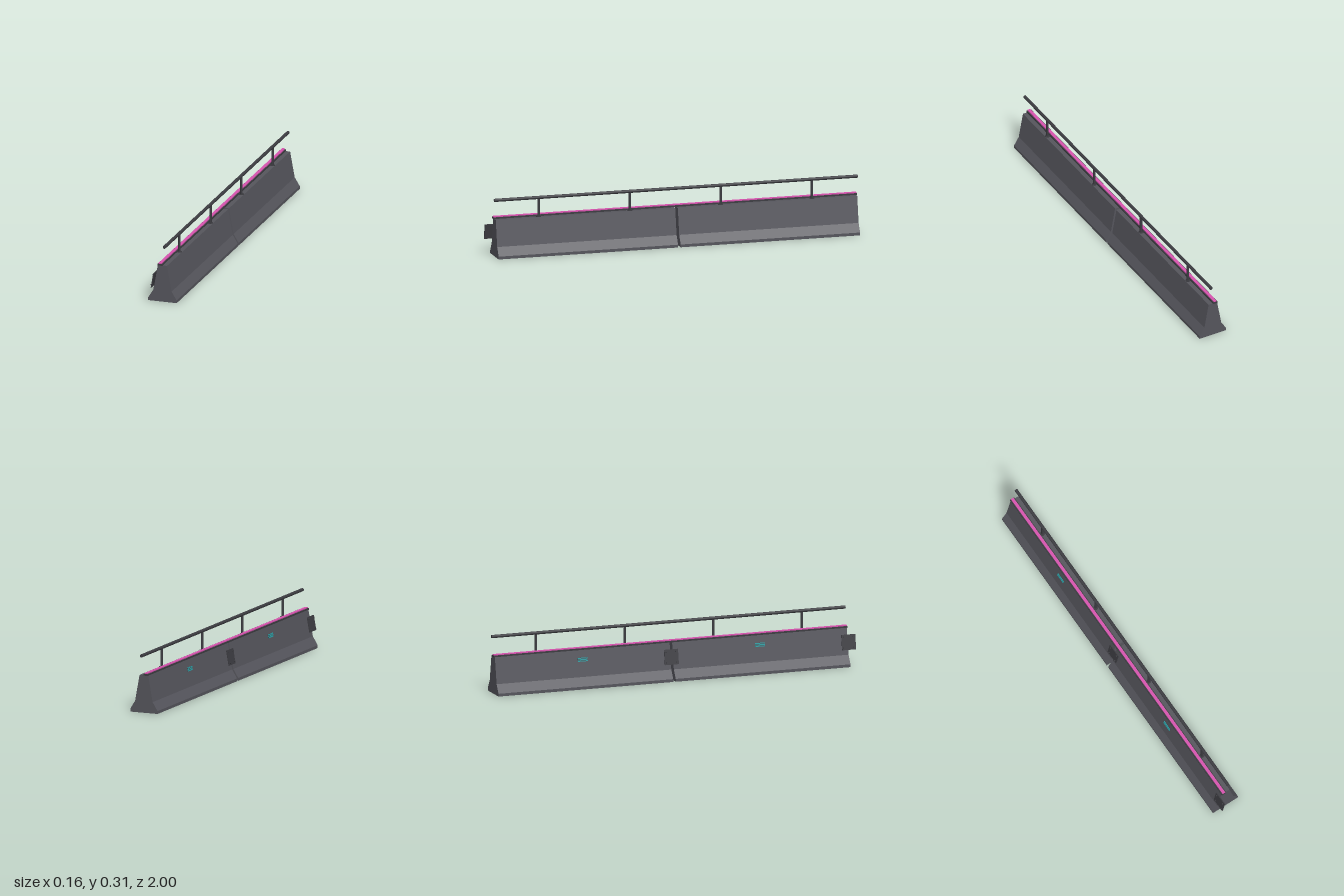
import * as THREE from 'three';

const mat = (name, color) => Object.assign(new THREE.MeshStandardMaterial({ color }), { name });

export function createModel() {
  const concrete = mat('concrete', 0x55555c);
  const metal = mat('darkMetal', 0x3c3c41);
  const pink = mat('pinkLight', 0xd653ae);
  const teal = mat('tealLight', 0x2a9aa0);

  const root = new THREE.Group();
  root.name = 'barrier';

  const add = (parent, name, geometry, material, x, y, z) => {
    const mesh = new THREE.Mesh(geometry, material);
    mesh.name = name;
    mesh.position.set(x, y, z);
    parent.add(mesh);
    return mesh;
  };

  // Group lying on the sloped right face: local -x points out, local y up the slope
  const sideMount = (name, y, z) => {
    const group = new THREE.Group();
    group.name = name;
    group.position.set(-0.05 + (y - 0.06) * (0.025 / 0.138), y, z);
    group.rotation.z = -Math.atan2(0.025, 0.138);
    root.add(group);
    return group;
  };

  // Cross-section of a concrete block, mirrored about x = 0
  const half = [[0.078, 0], [0.078, 0.015], [0.05, 0.06], [0.025, 0.198]];
  const points = [...half, ...half.map(([x, y]) => [-x, y]).reverse()];
  const section = new THREE.Shape(points.map(([x, y]) => new THREE.Vector2(x, y)));
  const length = 0.969;
  const blockGeo = new THREE.ExtrudeGeometry(section, { depth: length, bevelEnabled: false });

  const boltGeo = new THREE.CylinderGeometry(0.004, 0.004, 0.006, 6).rotateZ(Math.PI / 2);
  const postGeo = new THREE.CylinderGeometry(0.0065, 0.0065, 0.104, 12);
  const flangeGeo = new THREE.CylinderGeometry(0.013, 0.013, 0.004, 12);

  for (const start of [-0.995, -0.012]) {
    add(root, 'concreteBlock', blockGeo, concrete, 0, 0, start);

    // Rail posts with base flanges
    for (const offset of [0.241, 0.734]) {
      add(root, 'railPost', postGeo, metal, 0.012, 0.248, start + offset);
      add(root, 'postFlange', flangeGeo, metal, 0.012, 0.199, start + offset);
    }

    // Joining plate with four bolts, overhanging the front end of the block
    const plate = sideMount('joiningPlate', 0.124, start + 0.973);
    add(plate, 'plate', new THREE.BoxGeometry(0.005, 0.08, 0.077), metal, -0.002, 0, 0);
    for (const y of [-0.028, 0.028]) {
      for (const z of [-0.027, 0.027]) add(plate, 'bolt', boltGeo, metal, -0.007, y, z);
    }

    // Slatted marker light
    const light = sideMount('markerLight', 0.149, start + 0.482);
    add(light, 'lightBack', new THREE.BoxGeometry(0.004, 0.02, 0.052), metal, -0.001, 0, 0);
    for (const y of [-0.0075, 0, 0.0075]) {
      add(light, 'lightSlat', new THREE.BoxGeometry(0.004, 0.005, 0.054), teal, -0.004, y, 0);
    }
  }

  // Handrail along the full length
  const railGeo = new THREE.CylinderGeometry(0.0085, 0.0085, 1.962, 16).rotateX(Math.PI / 2);
  add(root, 'handrail', railGeo, metal, 0.012, 0.3, -0.019);

  // Light strip in its housing
  add(root, 'stripHousing', new THREE.BoxGeometry(0.026, 0.009, 1.962), metal, -0.012, 0.2015, -0.019);
  add(root, 'lightStrip', new THREE.BoxGeometry(0.016, 0.006, 1.96), pink, -0.012, 0.208, -0.019);

  return root;
}
